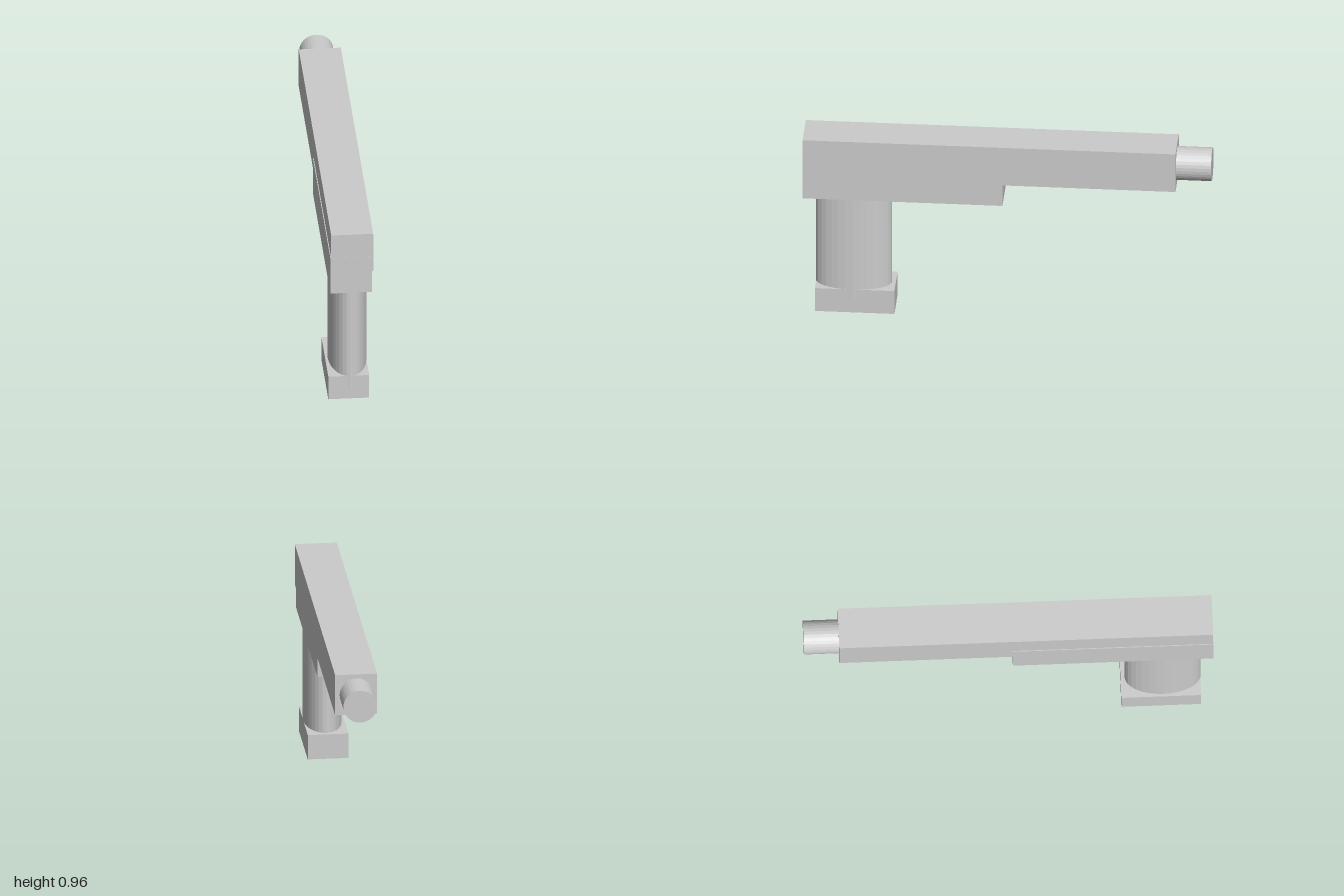
import * as THREE from 'three';

const material = new THREE.MeshStandardMaterial({ color: 0xcccccc, flatShading: true });

export function createModel() {
  const group = new THREE.Group();

  const add = (name, geometry) => {
    const mesh = new THREE.Mesh(geometry, material);
    mesh.name = name;
    group.add(mesh);
    return mesh;
  };

  // Box given by its extents on each axis
  const block = (name, [x0, x1], [y0, y1], [z0, z1]) =>
    add(name, new THREE.BoxGeometry(x1 - x0, y1 - y0, z1 - z0))
      .position.set((x0 + x1) / 2, (y0 + y1) / 2, (z0 + z1) / 2);

  // Long upper body and the shorter frame under it, slightly offset sideways
  block('upperBody', [-0.1, 0.106], [0.747, 0.956], [-0.828, 0.999]);
  block('lowerFrame', [-0.104, 0.101], [0.63, 0.828], [0.02, 1.0]);

  // Foot block at the end of the handle
  block('handleBase', [-0.109, 0.091], [0, 0.127], [0.55, 0.94]);

  // Elliptical handle, sunk into the base and the frame
  const handle = add('handle', new THREE.CylinderGeometry(1, 1, 0.6, 32));
  handle.scale.set(0.094, 1, 0.186);
  handle.position.set(-0.002, 0.36, 0.756);

  // Round barrel end at the back
  const barrel = add('barrel', new THREE.CylinderGeometry(0.083, 0.083, 0.2, 32));
  barrel.rotation.x = Math.PI / 2;
  barrel.position.set(0.001, 0.852, -0.9);

  return group;
}
